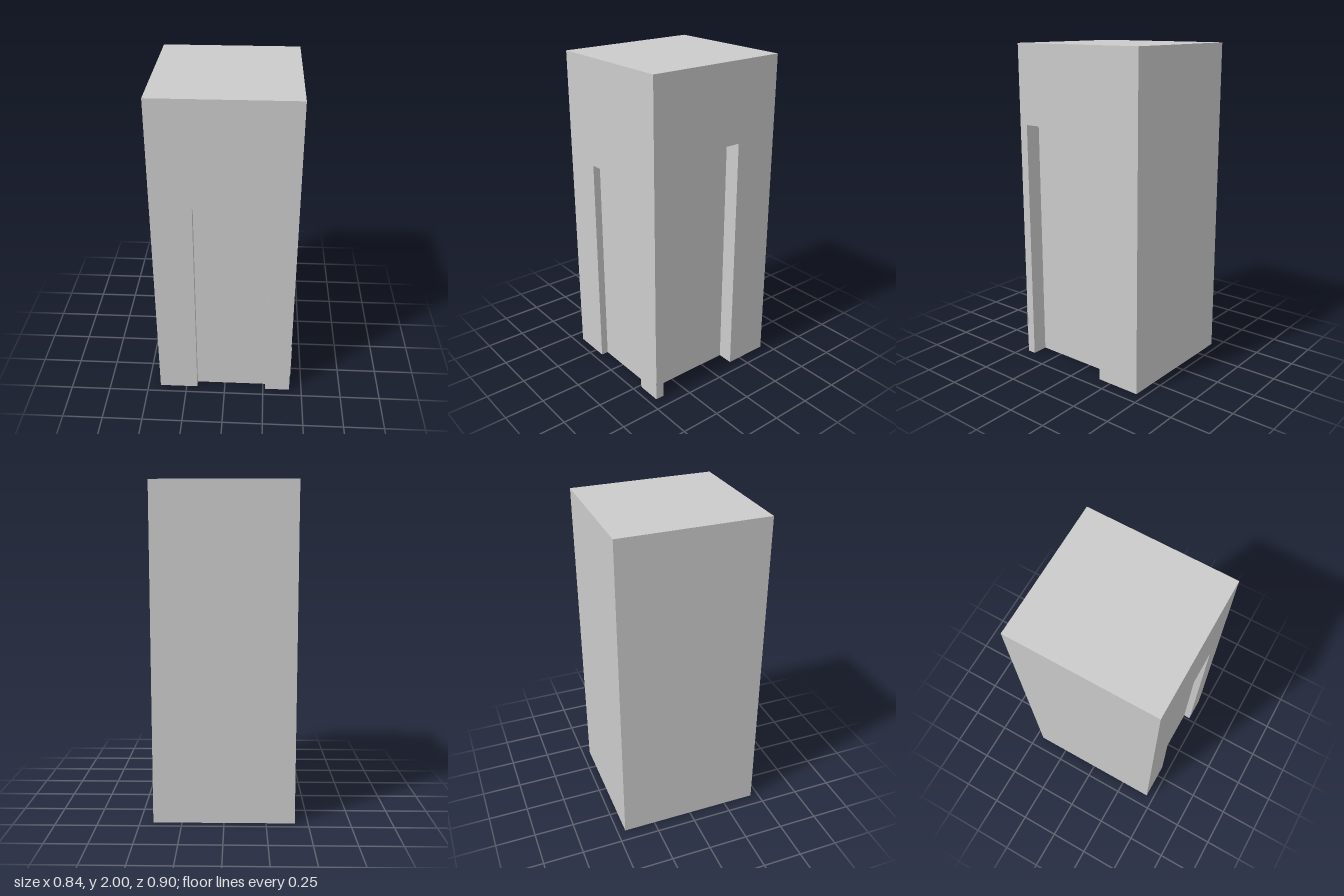
import * as THREE from 'three';

const W = 0.842, H = 2, D = 0.9;                                  // overall block
const FRONT = { l: -0.18, r: 0.265, h: 1.35, d: 0.045 };          // front recess, x range
const SIDE = { l: -0.396, r: 0.166, h: 1.515, d: 0.1 };           // right recess, along -z

const material = new THREE.MeshStandardMaterial({ color: 0xcccccc, flatShading: true });

function outline(points) {
  return new THREE.ShapeGeometry(new THREE.Shape(points.map(([x, y]) => new THREE.Vector2(x, y))));
}

function addMesh(group, name, geometry, x = 0, y = 0, z = 0) {
  const mesh = new THREE.Mesh(geometry, material);
  mesh.name = name;
  mesh.position.set(x, y, z);
  group.add(mesh);
  return mesh;
}

// One wall facing local +z, with an optional doorway recess sunk into it
function facade(name, width, offset, turn, door) {
  const group = new THREE.Group();
  group.name = name;
  const w = width / 2;
  const notch = door ? [[door.r, 0], [door.r, door.h], [door.l, door.h], [door.l, 0]].reverse() : [];
  addMesh(group, 'wall', outline([[-w, 0], ...notch, [w, 0], [w, H], [-w, H]]), 0, 0, offset);
  if (door) {
    const { l, r, h, d } = door, mid = (l + r) / 2, z = offset - d / 2;
    addMesh(group, 'recessPanel', new THREE.PlaneGeometry(r - l, h), mid, h / 2, offset - d);
    addMesh(group, 'leftJamb', new THREE.PlaneGeometry(d, h).rotateY(Math.PI / 2), l, h / 2, z);
    addMesh(group, 'rightJamb', new THREE.PlaneGeometry(d, h).rotateY(-Math.PI / 2), r, h / 2, z);
    addMesh(group, 'lintel', new THREE.PlaneGeometry(r - l, d).rotateX(Math.PI / 2), mid, h, z);
  }
  group.rotation.y = turn;
  return group;
}

export function createModel() {
  const model = new THREE.Group();
  model.name = 'recessedBlock';
  const x = W / 2, z = D / 2;

  // Four walls
  model.add(
    facade('frontWall', W, z, 0, FRONT),
    facade('rightWall', D, x, Math.PI / 2, SIDE),
    facade('backWall', W, z, Math.PI),
    facade('leftWall', D, x, -Math.PI / 2),
  );

  // Top and underside, the underside notched by both recesses
  addMesh(model, 'top', new THREE.PlaneGeometry(W, D).rotateX(-Math.PI / 2), 0, H, 0);
  const zf = z - FRONT.d, xs = x - SIDE.d;
  addMesh(model, 'underside', outline([
    [-x, -z], [x, -z], [x, -SIDE.r], [xs, -SIDE.r], [xs, -SIDE.l], [x, -SIDE.l], [x, z],
    [FRONT.r, z], [FRONT.r, zf], [FRONT.l, zf], [FRONT.l, z], [-x, z],
  ]).rotateX(Math.PI / 2));

  // Sliver on the front corner post
  addMesh(model, 'cornerStrip', new THREE.BoxGeometry(0.005, 0.24, 0.005), x, 0.24, z - 0.002);
  return model;
}
